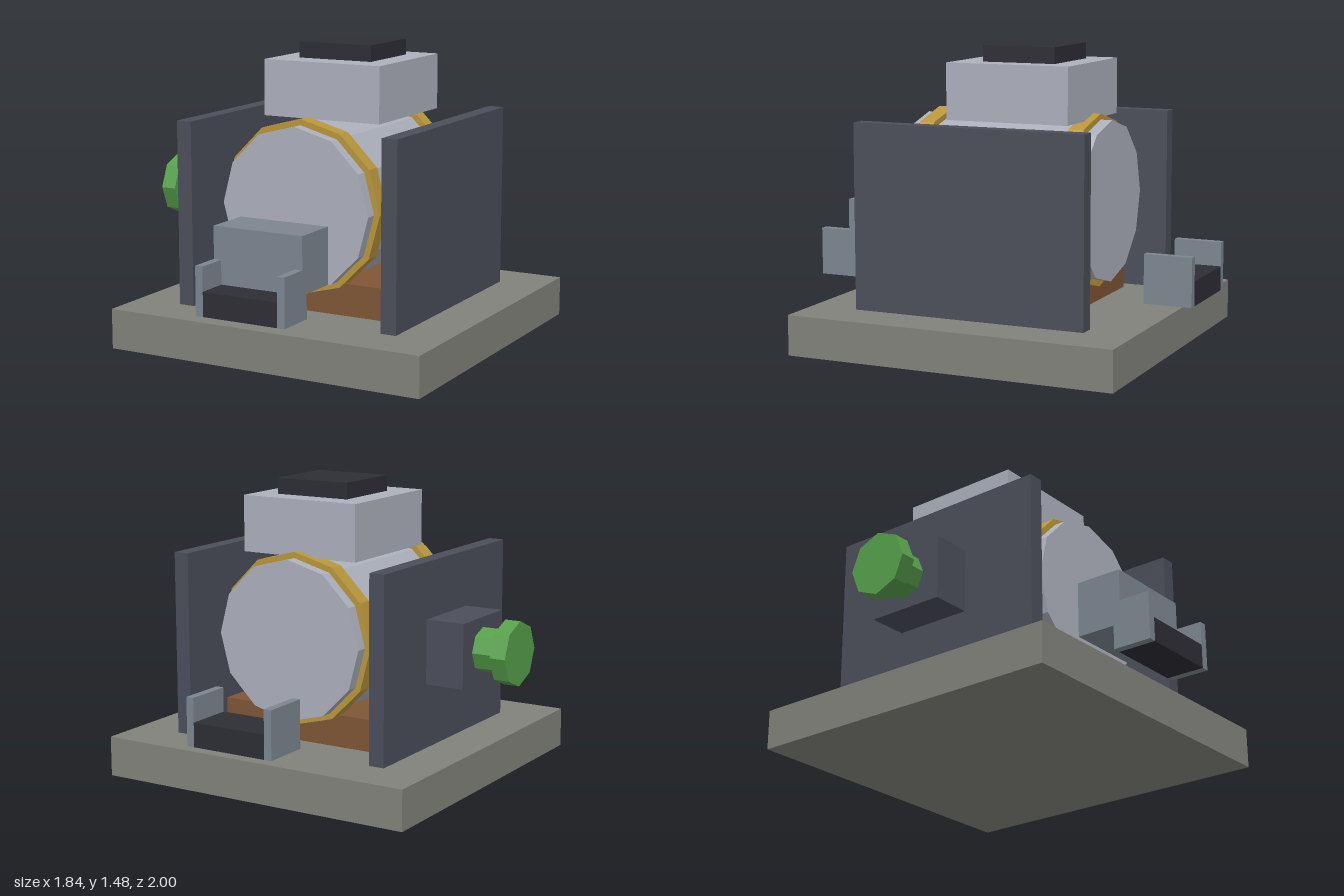
import * as THREE from 'three';

const mat = (name, color) => {
  const m = new THREE.MeshStandardMaterial({ color, flatShading: true });
  m.name = name;
  return m;
};

export function createModel() {
  const stone = mat('stone grey', 0x82827c);
  const slate = mat('slate', 0x4b4e5a);
  const silver = mat('silver', 0xacb0bc);
  const gold = mat('gold', 0xb8963a);
  const brown = mat('brown', 0x7f5636);
  const steel = mat('blue steel', 0x7c8690);
  const black = mat('black', 0x2d2d35);
  const green = mat('green', 0x56a04a);

  const model = new THREE.Group();
  model.name = 'machine';
  const CX = 0.08; // centre line of the body

  const add = (name, geometry, material, x, y, z) => {
    const mesh = new THREE.Mesh(geometry, material);
    mesh.name = name;
    mesh.position.set(x, y, z);
    model.add(mesh);
    return mesh;
  };
  // Box given by its extents on each axis
  const box = (name, material, [x0, x1], [y0, y1], [z0, z1]) =>
    add(name, new THREE.BoxGeometry(x1 - x0, y1 - y0, z1 - z0), material,
      (x0 + x1) / 2, (y0 + y1) / 2, (z0 + z1) / 2);

  // Base slab and drum cradle
  box('base', stone, [-0.76, 0.92], [0, 0.2], [-0.84, 0.84]);
  box('cradle', brown, [-0.36, 0.52], [0.2, 0.36], [-0.4, 0.4]);

  // Drum along z with two bands
  const drum = (name, r, length, material, z) =>
    add(name, new THREE.CylinderGeometry(r, r, length, 12).rotateX(Math.PI / 2), material, CX, 0.72, z);
  drum('drum', 0.4, 1, silver, 0);
  for (const s of [-1, 1]) {
    drum(s > 0 ? 'frontBand' : 'backBand', 0.43, 0.08, gold, s * 0.4);
  }

  // Side plates and the small pads on the drum sides
  for (const s of [-1, 1]) {
    const side = s > 0 ? 'left' : 'right';
    const x = CX + s * 0.56;
    box(side + 'Plate', slate, [x - 0.04, x + 0.04], [0.2, 1.12], [-0.6, 0.6]);
    const p = CX + s * 0.397;
    box(side + 'Pad', black, [p - 0.008, p + 0.008], [0.64, 0.8], [-0.08, 0.08]);
  }

  // Top housing and cap
  box('housing', silver, [-0.24, 0.4], [1.12, 1.4], [-0.4, 0.24]);
  box('cap', black, [-0.12, 0.28], [1.4, 1.48], [-0.28, 0.1]);

  // Front block and the trays at both ends
  box('frontBlock', steel, [-0.16, 0.32], [0.4, 0.68], [0.6, 0.84]);
  for (const [name, z] of [['front', [0.8, 1]], ['back', [-1, -0.76]]]) {
    box(name + 'Tray', black, [-0.12, 0.28], [0.28, 0.4], z);
    box(name + 'TrayRightCheek', steel, [-0.16, -0.12], [0.28, 0.52], z);
    box(name + 'TrayLeftCheek', steel, [0.28, 0.32], [0.28, 0.52], z);
  }

  // Gearbox with shaft and handwheel
  box('gearbox', slate, [-0.72, -0.52], [0.52, 0.84], [-0.2, 0.2]);
  const knob = (name, r, length, x) =>
    add(name, new THREE.CylinderGeometry(r, r, length, 8).rotateZ(Math.PI / 2), green, x, 0.68, 0);
  knob('shaft', 0.11, 0.12, -0.78);
  knob('handwheel', 0.16, 0.08, -0.88);

  return model;
}
